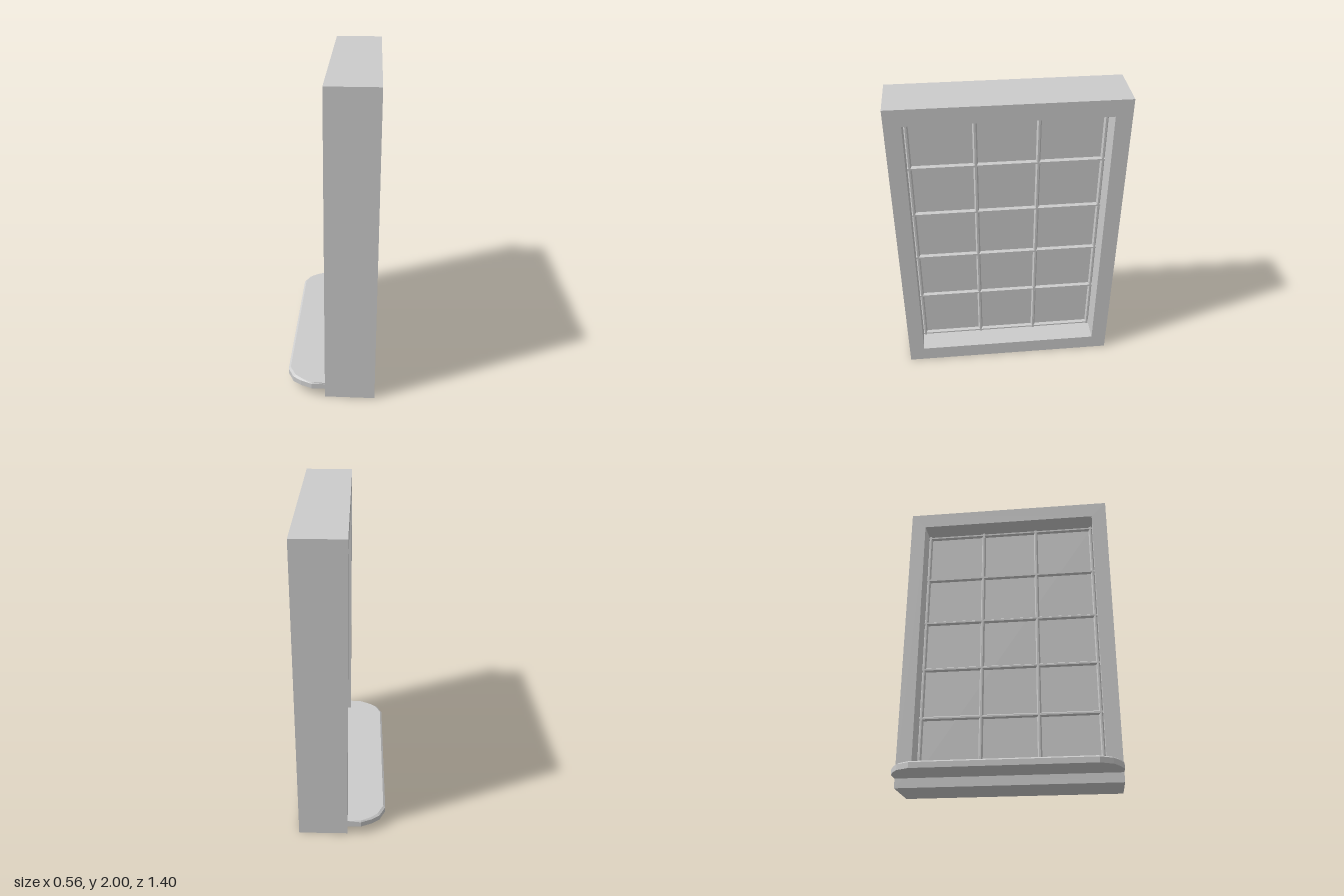
import * as THREE from 'three';

const grey = new THREE.MeshStandardMaterial({ color: 0xcccccc, flatShading: true });

export function createModel() {
  const group = new THREE.Group();
  const add = (name, geometry, x = 0, y = 0, z = 0) => {
    const mesh = new THREE.Mesh(geometry, grey);
    mesh.name = name;
    mesh.position.set(x, y, z);
    group.add(mesh);
    return mesh;
  };

  // Deep outer frame with a rectangular opening
  const outline = new THREE.Shape([[-0.7, 0], [0.7, 0], [0.7, 2], [-0.7, 2]].map(p => new THREE.Vector2(...p)));
  outline.holes.push(new THREE.Path([[-0.6, 0.105], [-0.6, 1.895], [0.6, 1.895], [0.6, 0.105]].map(p => new THREE.Vector2(...p))));
  const frame = new THREE.ExtrudeGeometry(outline, { depth: 0.313, bevelEnabled: false });
  frame.rotateY(Math.PI / 2);
  add('frame', frame, -0.035);

  // Glass in the middle of the opening
  const glassX = 0.12;
  add('glass', new THREE.BoxGeometry(0.012, 1.79, 1.2), glassX, 1, 0);

  // Eight-sided bars: width across the pane, depth through it
  const bar = (name, length, width, horizontal, y, z) => {
    const r = 1 / Math.cos(Math.PI / 8);
    const g = new THREE.CylinderGeometry(r, r, length, 8);
    g.rotateY(Math.PI / 8);
    g.scale(0.024, 1, width / 2);
    if (horizontal) g.rotateX(Math.PI / 2);
    add(name, g, glassX, y, z);
  };
  for (const z of [-0.587, 0.587]) bar('sashStile', 1.79, 0.026, false, 1, z);
  for (const y of [0.118, 1.882]) bar('sashRail', 1.2, 0.026, true, y, 0);
  for (const z of [-0.19, 0.19]) bar('verticalBar', 1.79, 0.028, false, 1, z);
  for (const y of [0.485, 0.83, 1.18, 1.525]) bar('horizontalBar', 1.2, 0.028, true, y, 0);

  // Sill with clipped corners, lofted from three stacked outlines
  const lower = [[-0.035, 0.7], [-0.12, 0.7], [-0.19, 0.67], [-0.24, 0.635], [-0.28, 0.555]];
  const upper = [[-0.035, 0.7], [-0.12, 0.693], [-0.185, 0.66], [-0.228, 0.625], [-0.267, 0.55]];
  const mirrored = half => [...half, ...half.slice().reverse().map(([x, z]) => [x, -z])];
  const rings = [[lower, 0.06], [lower, 0.095], [upper, 0.105]].map(([half, y]) => mirrored(half).map(([x, z]) => [x, y, z]));
  const n = rings[0].length;
  const positions = [];
  const tri = (a, b, c) => positions.push(...a, ...b, ...c);
  for (let k = 0; k < 2; k++) {
    for (let i = 0; i < n; i++) {
      const j = (i + 1) % n;
      const [a, b, c, d] = [rings[k][i], rings[k][j], rings[k + 1][j], rings[k + 1][i]];
      tri(a, c, b);
      tri(a, d, c);
    }
  }
  for (let i = 1; i < n - 1; i++) {
    tri(rings[0][0], rings[0][i], rings[0][i + 1]);
    tri(rings[2][0], rings[2][i + 1], rings[2][i]);
  }
  // Outlines run from +z round the outer edge to -z; orient faces outward
  const sill = new THREE.BufferGeometry();
  sill.setAttribute('position', new THREE.Float32BufferAttribute(positions, 3));
  orientOutward(sill, new THREE.Vector3(-0.12, 0.08, 0));
  sill.computeVertexNormals();
  add('sill', sill);

  return group;
}

// Flips any triangle of a convex solid that faces its centre
function orientOutward(geometry, centre) {
  const p = geometry.attributes.position;
  const [a, b, c] = [0, 1, 2].map(() => new THREE.Vector3());
  for (let i = 0; i < p.count; i += 3) {
    [a, b, c].forEach((v, k) => v.fromBufferAttribute(p, i + k));
    const normal = b.clone().sub(a).cross(c.clone().sub(a));
    if (normal.dot(a.clone().sub(centre)) < 0) {
      p.setXYZ(i + 1, c.x, c.y, c.z);
      p.setXYZ(i + 2, b.x, b.y, b.z);
    }
  }
}
